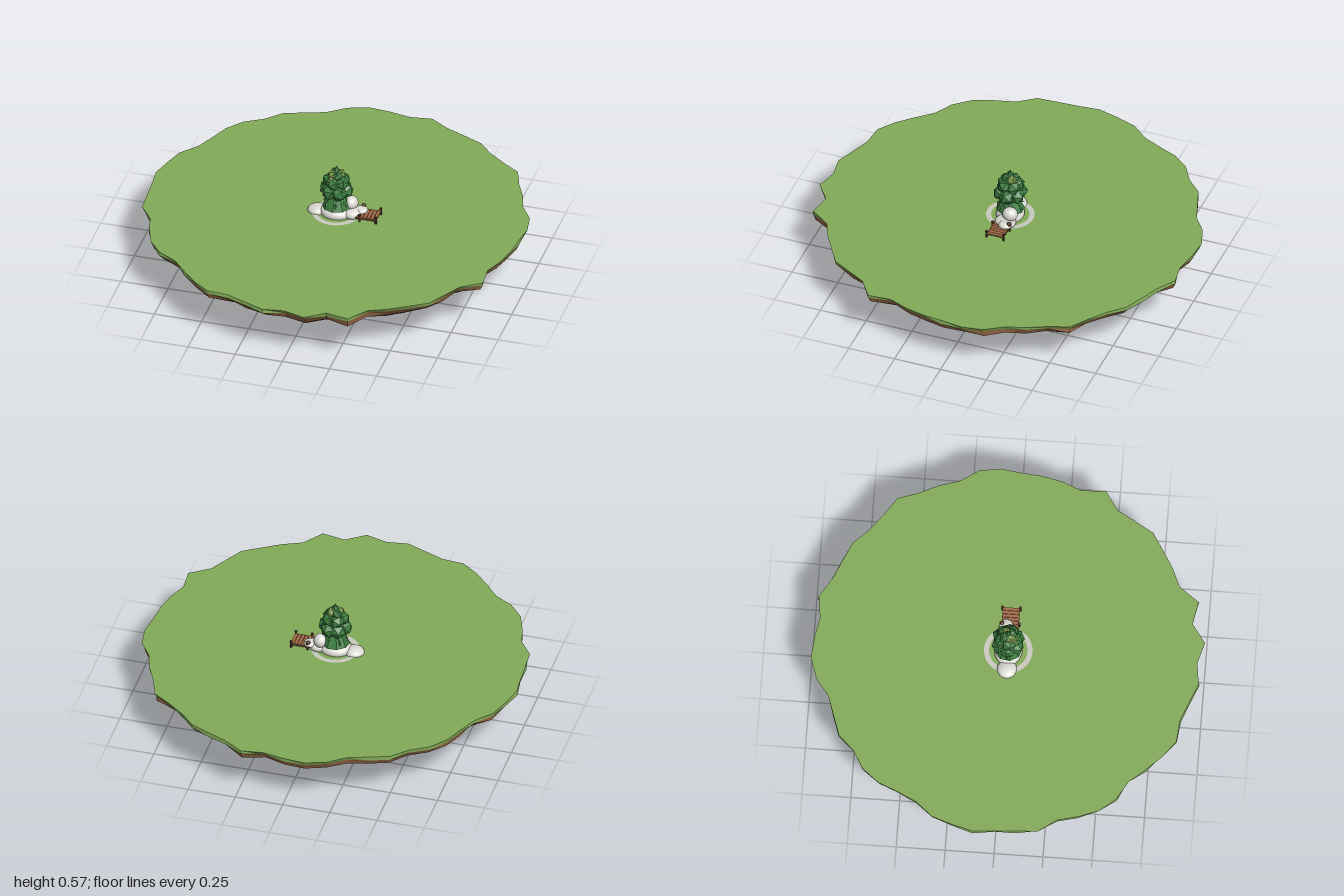
import * as THREE from 'three';

const mat = (name, color, flat = false) => {
  const m = new THREE.MeshStandardMaterial({ color, flatShading: flat });
  m.name = name;
  return m;
};

// Outline radius of the island at 56 even angles, from +x towards +z
const RADII = [
  .965, .961, .955, .944, .998, .943, .953, .976, .957, .949, .939, 1.005, .95, 1.003,
  .965, .987, .964, .953, .988, .974, .953, .94, .975, .985, .968, .952, .992, .98,
  .98, .996, .985, .98, .944, .951, .975, .98, .958, .977, .957, .949, .99, 1.006,
  .99, .976, 1.01, .977, .975, .984, .964, .972, 1.0, .968, .962, .952, .986, .986];
const N = RADII.length;
const TOP = 0.285;

export function createModel() {
  const root = new THREE.Group();
  const grass = mat('grass green', 0x82ab58, true);
  const soil = mat('light soil brown', 0x9c6c48, true);
  const deepSoil = mat('dark soil brown', 0x7a5038, true);
  const rock = mat('dark rock', 0x49423c, true);
  const stone = mat('pale stone', 0xdcdad4);
  const shore = mat('shore grey', 0xcacbc2);
  const leaf = mat('leaf green', 0x3c7f40, true);
  const leafLight = mat('light leaf green', 0x7c9f4c, true);
  const wood = mat('dock wood', 0xa46c48, true);
  const dark = mat('dark wood', 0x5a3a2c, true);

  let seed = 7;
  const rand = () => (seed = (seed * 16807) % 2147483647) / 2147483647;

  const add = (name, geo, m, p = [0, 0, 0], s = [1, 1, 1], r = [0, 0, 0], parent = root) => {
    const mesh = new THREE.Mesh(geo, m);
    mesh.name = name;
    mesh.position.set(...p);
    mesh.scale.set(...s);
    mesh.rotation.set(...r);
    parent.add(mesh);
    return mesh;
  };

  // Faceted geometry from a list of triangles
  const facets = (tris) => {
    const g = new THREE.BufferGeometry();
    g.setAttribute('position', new THREE.Float32BufferAttribute(tris.flat(2), 3));
    g.computeVertexNormals();
    return g;
  };

  // Island cross-section rings: scale, height, height jitter, centre offset
  const ring = (scale, y, jitter, off = 0) => RADII.map((r, k) => {
    const a = (k / N) * Math.PI * 2;
    const s = r * scale * (1 + (rand() - 0.5) * jitter);
    return [Math.cos(a) * s + off, y + (rand() - 0.5) * jitter * 0.3, Math.sin(a) * s];
  });
  const rings = [
    ring(1, TOP, 0), ring(0.996, 0.266, 0.02), ring(0.975, 0.236, 0.03), ring(0.93, 0.214, 0.03),
    ring(0.82, 0.152, 0.03), ring(0.54, 0.09, 0.02, 0.01), ring(0, 0, 0, 0.03)];
  const band = (i) => rings[i].flatMap((u, k) => {
    const j = (k + 1) % N, u2 = rings[i][j], l = rings[i + 1][k], l2 = rings[i + 1][j];
    return i === rings.length - 2 ? [[u, u2, l]] : [[u, u2, l], [u2, l2, l]];
  });
  const lawn = rings[0].map((p, k) => [[0, TOP, 0], rings[0][(k + 1) % N], p]);
  add('grassTop', facets([...lawn, ...band(0)]), grass);
  add('upperSoil', facets(band(1)), soil);
  add('lowerSoil', facets(band(2)), deepSoil);
  add('rockUnderside', facets([3, 4, 5].flatMap(band)), rock);

  // Pale ring lying on the grass
  add('shoreRing', new THREE.RingGeometry(0.098, 0.124, 48), shore, [0, TOP + 0.002, 0], [1, 1, 1], [-Math.PI / 2, 0, 0]);

  // Smooth pale boulders around the tree foot
  const ball = new THREE.SphereGeometry(1, 24, 16);
  const boulders = new THREE.Group();
  boulders.name = 'boulders';
  root.add(boulders);
  const stones = [
    [0, 0.295, 0, 0.085, 0.042, 0.072], [-0.1, 0.288, 0, 0.052, 0.026, 0.05],
    [0.07, 0.342, -0.025, 0.037, 0.037, 0.04], [0.085, 0.3, -0.005, 0.055, 0.03, 0.055],
    [0.125, 0.312, -0.02, 0.034, 0.018, 0.035]];
  stones.forEach(([x, y, z, a, b, c], i) =>
    add('boulder' + (i + 1), ball, stone, [x, y, z], [a, b, c], [0, 0, 0], boulders));
  add('darkPebble', ball, dark, [0.132, 0.328, -0.042], [0.011, 0.009, 0.011], [0, 0, 0], boulders);

  // Tree: trunk, flared skirt, faceted crown and pointed tip
  const tree = new THREE.Group();
  tree.name = 'tree';
  root.add(tree);
  add('trunk', new THREE.CylinderGeometry(0.02, 0.028, 0.1, 7), dark, [0, 0.34, 0], [1, 1, 1], [0, 0, 0], tree);
  add('skirtFoliage', new THREE.CylinderGeometry(0.035, 0.074, 0.085, 9), leaf, [0, 0.372, 0], [1, 1, 1], [0, 0, 0], tree);
  for (let i = 0; i < 7; i++) {
    const a = (i / 7) * Math.PI * 2 + 0.5;
    add('skirtLeaf', new THREE.ConeGeometry(0.014, 0.05, 4), leaf,
      [Math.cos(a) * 0.055, 0.36, Math.sin(a) * 0.055], [1, 1, 1], [0, -a, -2.1], tree).rotation.order = 'YXZ';
  }
  const clump = new THREE.IcosahedronGeometry(1, 0);
  const tiers = [[0.43, 0.046, 0.045, 6], [0.48, 0.035, 0.04, 5], [0.515, 0.019, 0.029, 4]];
  add('crownCore', clump, leaf, [0, 0.45, 0], [0.062, 0.08, 0.062], [0, 0, 0], tree);
  tiers.forEach(([y, dist, size, n], t) => {
    for (let i = 0; i < n; i++) {
      const a = (i / n) * Math.PI * 2 + t * 0.5;
      add('crownClump', clump, t === 2 && i % 2 ? leafLight : leaf,
        [Math.cos(a) * dist, y, Math.sin(a) * dist], [size, size, size], [rand() * 3, rand() * 3, 0], tree);
    }
  });
  add('lightClump', clump, leafLight, [-0.018, 0.5, 0.036], [0.022, 0.022, 0.022], [0.4, 0.2, 0], tree);
  add('crownTip', new THREE.ConeGeometry(0.026, 0.05, 6), leaf, [0, 0.545, 0], [1, 1, 1], [0, 0, 0], tree);

  // Small wooden dock reaching towards +x
  const dock = new THREE.Group();
  dock.name = 'dock';
  root.add(dock);
  for (let i = 0; i < 6; i++) {
    add('plank', new THREE.BoxGeometry(0.016, 0.006, 0.088), wood, [0.125 + i * 0.0182, 0.306, 0], [1, 1, 1], [0, 0, 0], dock);
  }
  for (const z of [-0.04, 0.04]) {
    add('beam', new THREE.BoxGeometry(0.13, 0.007, 0.007), dark, [0.155, 0.2995, z], [1, 1, 1], [0, 0, 0], dock);
    for (const x of [0.135, 0.221]) {
      add('post', new THREE.CylinderGeometry(0.006, 0.006, 0.038, 6), dark, [x, 0.302, z * 1.15], [1, 1, 1], [0, 0, 0], dock);
      add('postCap', new THREE.CylinderGeometry(0.008, 0.008, 0.005, 6), dark, [x, 0.321, z * 1.15], [1, 1, 1], [0, 0, 0], dock);
    }
  }
  return root;
}
